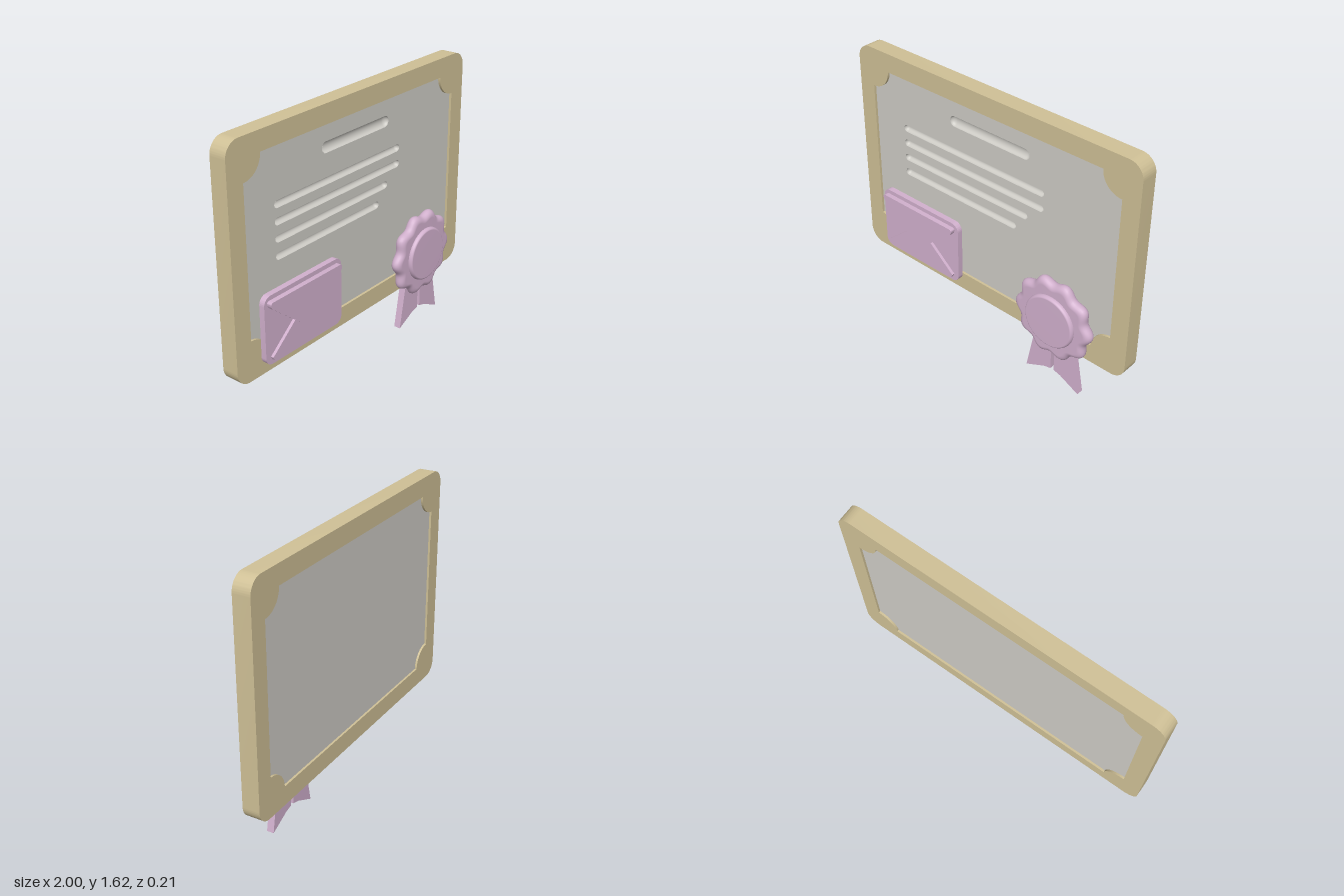
import * as THREE from 'three';
import { mergeVertices, toCreasedNormals } from 'three/addons/utils/BufferGeometryUtils.js';

const mat = (name, color, side = THREE.FrontSide) => {
  const m = new THREE.MeshStandardMaterial({ color, side });
  m.name = name;
  return m;
};

function roundRect(x0, y0, x1, y1, r, Type = THREE.Shape) {
  const s = new Type();
  s.moveTo(x0 + r, y0);
  s.absarc(x1 - r, y0 + r, r, -Math.PI / 2, 0, false);
  s.absarc(x1 - r, y1 - r, r, 0, Math.PI / 2, false);
  s.absarc(x0 + r, y1 - r, r, Math.PI / 2, Math.PI, false);
  s.absarc(x0 + r, y0 + r, r, Math.PI, Math.PI * 1.5, false);
  return s;
}

// Rectangle with quarter circles bitten out of its corners
function notchedRect(x, y0, y1, r, Type = THREE.Shape) {
  const s = new Type(), P = Math.PI;
  s.moveTo(-x + r, y0);
  s.absarc(x, y0, r, P, P / 2, true);
  s.absarc(x, y1, r, P * 1.5, P, true);
  s.absarc(-x, y1, r, 0, -P / 2, true);
  s.absarc(-x, y0, r, P / 2, 0, true);
  return s;
}

function slab(shape, z0, z1) {
  const g = new THREE.ExtrudeGeometry(shape, { depth: z1 - z0, bevelEnabled: false, curveSegments: 12 });
  g.translate(0, 0, z0);
  return toCreasedNormals(g, 0.5);
}

// Disc facing +z with a rounded rim; optional waves around its edge
function roundedDisc(radius, z0, z1, rim, lobes = 0, wave = 0) {
  const h = (z1 - z0) / 2, pts = [new THREE.Vector2(0, z0)];
  for (let i = 0; i <= 12; i++) {
    const a = -Math.PI / 2 + (Math.PI * i) / 12;
    pts.push(new THREE.Vector2(radius - rim + rim * Math.cos(a), z0 + h + h * Math.sin(a)));
  }
  pts.push(new THREE.Vector2(0, z1));
  let g = new THREE.LatheGeometry(pts, 120);
  g.rotateX(Math.PI / 2);
  const p = g.attributes.position;
  for (let i = 0; i < p.count; i++) {
    const x = p.getX(i), y = p.getY(i);
    const k = 1 + (wave / radius) * Math.cos(lobes * Math.atan2(y, x));
    p.setXY(i, x * k, y * k);
  }
  g.deleteAttribute('uv');
  g.deleteAttribute('normal');
  g = mergeVertices(g, 1e-5);
  g.computeVertexNormals();
  return g;
}

// Half-round hollow along x, opening toward +z
function trough(x0, x1, r, depth) {
  const half = (x1 - x0) / 2, pts = [];
  for (const end of [-1, 1]) {
    for (let i = 0; i <= 8; i++) {
      const a = (Math.PI / 2) * (end < 0 ? i / 8 - 1 : i / 8);
      pts.push(new THREE.Vector2(r * Math.cos(a), end * (half - r) + r * Math.sin(a)));
    }
  }
  const g = new THREE.LatheGeometry(pts, 16, Math.PI / 2, Math.PI);
  g.rotateZ(Math.PI / 2);
  g.scale(1, 1, depth / r);
  return g;
}

const polygon = (pts) => new THREE.Shape(pts.map(([x, y]) => new THREE.Vector2(x, y)));

export function createModel() {
  const root = new THREE.Group();
  root.name = 'certificate';
  const tan = mat('frame tan', 0xcfc096);
  const grey = mat('paper grey', 0xcdcbc5);
  const hollow = mat('groove grey', 0xcdcbc5, THREE.DoubleSide);
  const pink = mat('seal pink', 0xd1b0cd);
  const add = (name, geometry, material, parent = root) => {
    const m = new THREE.Mesh(geometry, material);
    m.name = name;
    parent.add(m);
    return m;
  };

  // Frame with notched window
  const frame = roundRect(-1, 0.245, 1, 1.615, 0.09);
  frame.holes.push(notchedRect(0.89, 0.36, 1.5, 0.125, THREE.Path));
  add('frame', slab(frame, -0.105, 0), tan);

  // Paper with the text-line grooves
  const zFront = -0.015;
  const lines = [
    [-0.29, 0.285, 1.367, 0.033],
    [-0.665, 0.39, 1.175, 0.022],
    [-0.665, 0.39, 1.078, 0.022],
    [-0.665, 0.28, 0.98, 0.022],
    [-0.665, 0.2, 0.88, 0.022],
  ];
  const paper = notchedRect(0.89, 0.36, 1.5, 0.125);
  for (const [x0, x1, y, r] of lines) {
    paper.holes.push(roundRect(x0, y - r, x1, y + r, r * 0.999, THREE.Path));
    const t = add('textGroove', trough(x0, x1, r, 0.026), hollow);
    t.position.set((x0 + x1) / 2, y, zFront);
  }
  add('paper', slab(paper, -0.05, zFront), grey);
  add('paperBacking', slab(notchedRect(0.89, 0.36, 1.5, 0.125), -0.092, -0.05), grey);

  // Envelope: body, lower fold and top flap
  const envelope = new THREE.Group();
  envelope.name = 'envelope';
  root.add(envelope);
  add('envelopeBody', slab(roundRect(-0.82, 0.305, -0.2, 0.718, 0.05), 0, 0.035), pink, envelope);
  const fold = polygon([[-0.775, 0.335], [-0.245, 0.335], [-0.235, 0.355], [-0.48, 0.56], [-0.54, 0.56], [-0.785, 0.355]]);
  add('lowerFold', slab(fold, 0.03, 0.053), pink, envelope);
  const flap = new THREE.Shape();
  flap.moveTo(-0.79, 0.655);
  flap.lineTo(-0.555, 0.463);
  flap.quadraticCurveTo(-0.51, 0.425, -0.465, 0.463);
  flap.lineTo(-0.235, 0.655);
  flap.quadraticCurveTo(-0.215, 0.69, -0.245, 0.692);
  flap.lineTo(-0.78, 0.692);
  flap.quadraticCurveTo(-0.81, 0.69, -0.79, 0.655);
  add('topFlap', slab(flap, 0.03, 0.065), pink, envelope);

  // Award rosette with two ribbon tails
  const rosette = new THREE.Group();
  rosette.name = 'rosette';
  rosette.position.set(0.542, 0.46, 0);
  root.add(rosette);
  add('scallopedRim', roundedDisc(0.254, 0.012, 0.082, 0.04, 10, 0.015), pink, rosette);
  add('rosetteCentre', roundedDisc(0.168, 0.06, 0.105, 0.014), pink, rosette);
  for (const s of [-1, 1]) {
    const tail = [[0.012, -0.1], [0.012, -0.385], [0.06, -0.397], [0.19, -0.46], [0.145, -0.22], [0.12, -0.1]];
    const pts = tail.map(([x, y]) => [x * s, y]);
    add('ribbonTail', slab(polygon(pts), 0, 0.043), pink, rosette);
  }
  return root;
}
